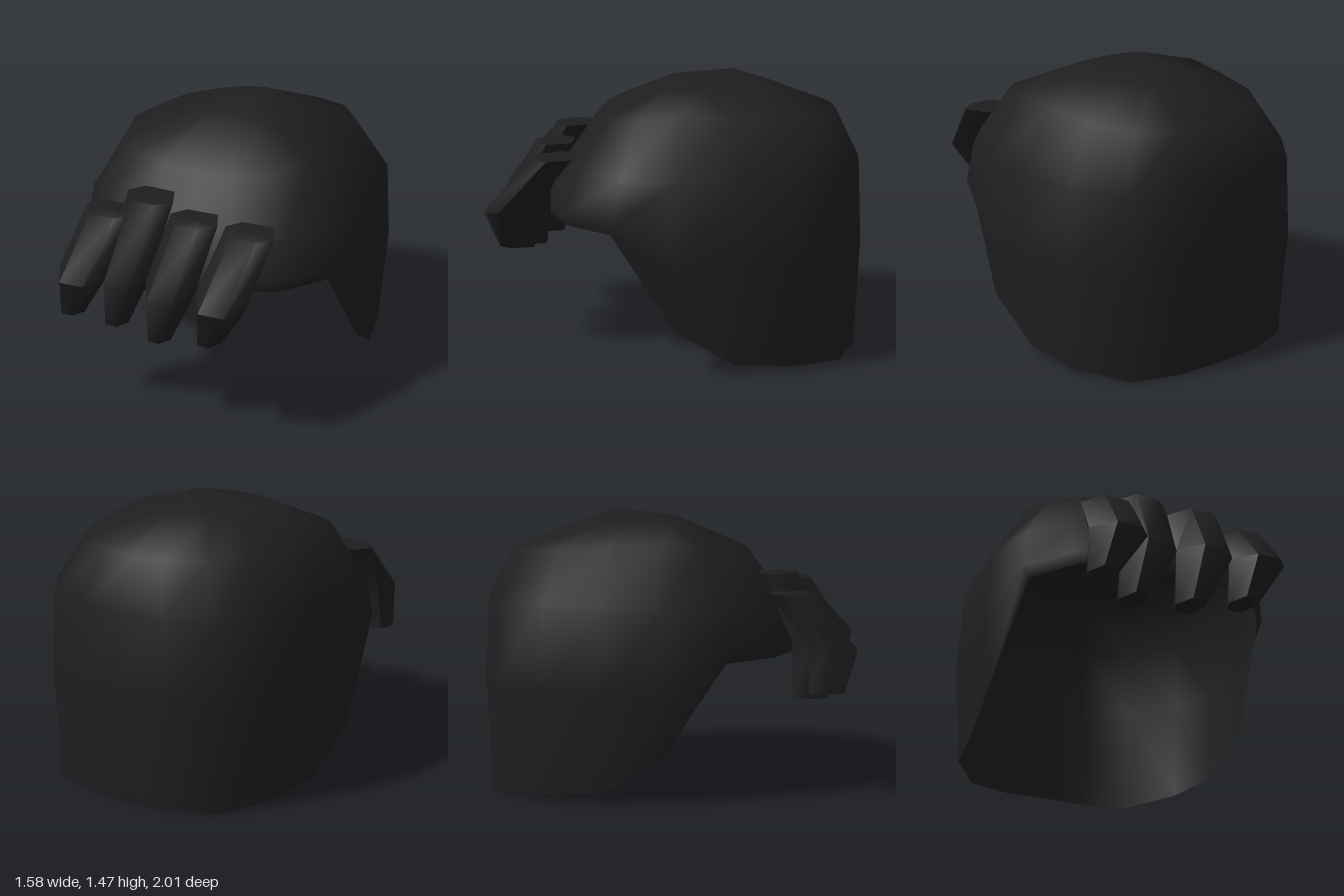
import * as THREE from 'three';
import { toCreasedNormals } from 'three/addons/utils/BufferGeometryUtils.js';

// Skin a stack of closed rings (bottom to top, counterclockwise from above).
// bottom / top are optional centre points that close the ends.
function loft(rings, bottom, top) {
  const n = rings[0].length;
  const pos = rings.flat(2);
  const idx = [];
  for (let i = 0; i < rings.length - 1; i++) {
    for (let j = 0; j < n; j++) {
      const a = i * n + j, b = i * n + (j + 1) % n;
      idx.push(a, b, b + n, a, b + n, a + n);
    }
  }
  const last = (rings.length - 1) * n;
  if (top) {
    const c = pos.length / 3;
    pos.push(...top);
    for (let j = 0; j < n; j++) idx.push(last + j, last + (j + 1) % n, c);
  }
  if (bottom) {
    const c = pos.length / 3;
    pos.push(...bottom);
    for (let j = 0; j < n; j++) idx.push((j + 1) % n, j, c);
  }
  const g = new THREE.BufferGeometry();
  g.setAttribute('position', new THREE.Float32BufferAttribute(pos, 3));
  g.setIndex(idx);
  g.computeVertexNormals();
  return g;
}

// Hollow cap of hair, open below and cut away around the face
function capGeometry() {
  // half outline from front centre to back centre: x, z, rim height
  const half = [
    [0, 0.7, 0.73], [0.27, 0.67, 0.73], [0.54, 0.57, 0.73], [0.72, 0.32, 0.72], [0.79, 0, 0.24],
    [0.765, -0.31, 0.05], [0.71, -0.63, 0.03], [0.52, -0.88, 0], [0.25, -0.98, 0.01], [0, -1, 0.02],
  ];
  const outline = [...half, ...half.slice(1, -1).reverse().map(([x, z, y]) => [-x, z, y])];
  // scale in x, scale of front z, scale of back z, height rule
  const blend = (front, side, back) => (z) =>
    side + (z > 0 ? (front - side) * z / 0.7 : (side - back) * z);
  const crown = blend(1.25, 1.32, 1.26), top = blend(1.42, 1.39, 1.4);
  const levels = [
    [0.95, 1, 0.98, (z, rim) => rim],
    [1, 1, 1, (z, rim) => Math.max(0.58, rim + 0.06)],
    [0.965, 0.86, 0.98, () => 1.0],
    [0.72, 0.6, 0.85, (z) => crown(z)],
    [0.35, 0.05, 0.5, (z) => top(z)],
  ];
  const rings = levels.map(([sx, sf, sb, h]) =>
    outline.map(([x, z, rim]) => [x * sx, h(z, rim), z * (z > 0 ? sf : sb)]));
  return loft(rings, null, [0, 1.47, -0.3]);
}

// Bent, tapering lock: six-sided sections at the tip, bend and root
function lockGeometry(x, z, yTop, yTip, reach) {
  const section = (cx, y, cz, w, d, tilt) => [
    [-0.22, 0.5], [0.25, 0.5], [0.5, 0.15], [0.3, -0.5], [-0.3, -0.5], [-0.5, -0.1],
  ].map(([u, v]) => [cx + u * w, y + v * tilt, cz + v * d]);
  const tip = section(x - 0.12, yTip, z + reach - 0.15, 0.14, 0.18, 0);
  const bend = section(x - 0.05, 0.78, z + reach - 0.12, 0.29, 0.25, -0.03);
  const root = section(x, yTop, z + 0.1, 0.28, 0.2, 0);
  const g = loft([tip, bend, root],
    [x - 0.12, yTip, z + reach - 0.15], [x, yTop, z + 0.1]);
  return toCreasedNormals(g, 1.0);
}

export function createModel() {
  const hair = new THREE.MeshStandardMaterial({ color: 0x1e1e1e, side: THREE.DoubleSide });
  hair.name = 'black hair';
  const model = new THREE.Group();
  model.name = 'hairpiece';

  const cap = new THREE.Mesh(capGeometry(), hair);
  cap.name = 'hairCap';
  model.add(cap);

  // Fringe: root x, rearmost z, root height, tip height, forward reach
  const fringe = new THREE.Group();
  fringe.name = 'fringe';
  [
    [-0.4, 0.54, 1.05, 0.55, 0.44],
    [-0.19, 0.48, 1.14, 0.49, 0.42],
    [0.09, 0.56, 1.09, 0.49, 0.41],
    [0.38, 0.53, 1.06, 0.55, 0.47],
  ].forEach((p, i) => {
    const lock = new THREE.Mesh(lockGeometry(...p), hair);
    lock.name = `fringeLock${i + 1}`;
    fringe.add(lock);
  });
  model.add(fringe);
  return model;
}
